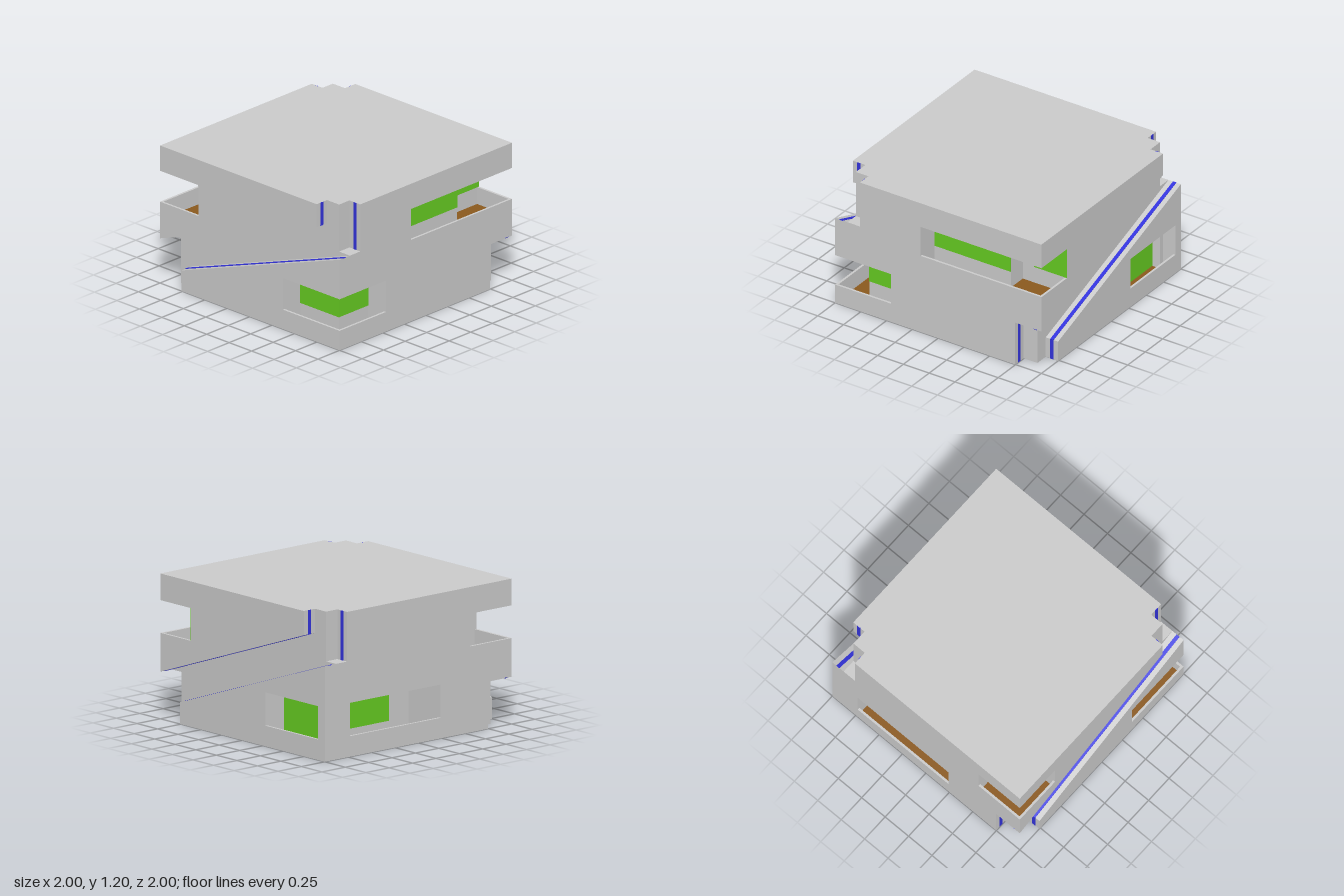
import * as THREE from 'three';

const material = (color, flat = true) => new THREE.MeshStandardMaterial({ color, flatShading: flat });

// Window heights: lower storey and upper storey, each with a sunken balcony floor
const LOW = { floor: 0.02, sill: 0.17, head: 0.445 };
const UP = { floor: 0.56, sill: 0.71, head: 0.98 };
const WALL = 0.88, SKIN = 0.98;

function toShape(points) {
  return new THREE.Shape(points.map(([x, y]) => new THREE.Vector2(x, y)));
}

function extrude(shape, depth) {
  return new THREE.ExtrudeGeometry(shape, { depth, bevelEnabled: false });
}

export function createModel() {
  const model = new THREE.Group();
  model.name = 'cubicBuilding';
  const grey = material(0xcccccc), green = material(0x66cc22);
  const blue = material(0x3333dd), brown = material(0x8b5a1e);

  const add = (parent, name, geometry, mat) => {
    const mesh = new THREE.Mesh(geometry, mat);
    mesh.name = name;
    parent.add(mesh);
    return mesh;
  };
  const addBox = (name, mat, x0, x1, y0, y1, z0, z1) => {
    const mesh = add(model, name, new THREE.BoxGeometry(x1 - x0, y1 - y0, z1 - z0), mat);
    mesh.position.set((x0 + x1) / 2, (y0 + y1) / 2, (z0 + z1) / 2);
  };

  // Core: stacked storeys, each an extruded floor plan of [x, z] corners
  const addStorey = (name, plan, y0, y1) => {
    const geometry = extrude(toShape(plan.map(([x, z]) => [x, -z])), y1 - y0);
    geometry.rotateX(-Math.PI / 2).translate(0, y0, 0);
    add(model, name, geometry, grey);
  };
  const square = [[WALL, WALL], [-WALL, WALL], [-WALL, -WALL], [WALL, -WALL]];
  const lowerPlan = [
    [WALL, 0.46], [0.8, 0.46], [0.8, 0.8], [0.37, 0.8], [0.37, WALL], [-WALL, WALL],
    [-WALL, 0.24], [-0.61, 0.24], [-0.61, -0.14], [-0.8, -0.14], [-0.8, -0.73], [-WALL, -0.73],
    [-WALL, -0.8], [-0.28, -0.8], [-0.28, -WALL], [WALL, -WALL],
  ];
  const upperPlan = [
    [WALL, 0.17], [WALL, WALL], [-0.57, WALL], [-0.57, 0.56], [-WALL, 0.56], [-WALL, -WALL],
    [0.63, -WALL], [0.63, -0.57], [0.8, -0.57], [0.8, 0.17],
  ];
  addStorey('baseSlab', square, 0, LOW.floor);
  addStorey('lowerStorey', lowerPlan, LOW.floor, LOW.head);
  addStorey('middleSlab', square, LOW.head, UP.floor);
  addStorey('upperStorey', upperPlan, UP.floor, UP.head);
  addStorey('roofSlab', square, UP.head, 1.2);

  // Facade panels: an inner layer hollowed down to the floor, and a thin outer skin as parapet
  const addPanel = (facade, name, makeShape) => {
    const inner = extrude(makeShape(true), SKIN - WALL).translate(0, 0, WALL);
    const skin = extrude(makeShape(false), 1 - SKIN).translate(0, 0, SKIN);
    add(facade, name + 'Inner', inner, grey);
    add(facade, name + 'Skin', skin, grey);
  };

  // Opening at an outer corner, listed from the sill at the edge round to the head
  const cornerOpening = (edge, jamb, storey, inner) => {
    const lip = Math.sign(edge) * SKIN;
    const bottom = inner
      ? [[lip, storey.sill], [lip, storey.floor], [jamb, storey.floor]]
      : [[jamb, storey.sill]];
    return [[edge, storey.sill], ...bottom, [jamb, storey.head], [edge, storey.head]];
  };

  const cutHole = (shape, [u0, u1], storey, inner) => {
    const y = inner ? storey.floor : storey.sill;
    const hole = [[u0, y], [u0, storey.head], [u1, storey.head], [u1, y]];
    shape.holes.push(new THREE.Path(hole.map(([a, b]) => new THREE.Vector2(a, b))));
  };

  // Blue light strip along an edge of a groove
  const addStrip = (facade, [ax, ay], [bx, by]) => {
    const length = Math.hypot(bx - ax, by - ay);
    const strip = add(facade, 'lightStrip', new THREE.BoxGeometry(length, 0.006, 0.032), blue);
    strip.position.set((ax + bx) / 2, (ay + by) / 2, 0.941);
    strip.rotation.z = Math.atan2(by - ay, bx - ax);
  };

  const addFacade = (name, angle) => {
    const facade = new THREE.Group();
    facade.name = name;
    facade.rotation.y = angle;
    model.add(facade);
    return facade;
  };

  // Front and back: two wedge panels separated by a diagonal groove
  const addWedgeFacade = (name, angle, { lowerJamb, lowerHole, upperJamb }) => {
    const facade = addFacade(name, angle);
    addPanel(facade, 'lowerWedge', (inner) => {
      const notch = lowerJamb ? cornerOpening(1, lowerJamb, LOW, inner) : [];
      const shape = toShape([[-0.76, 0], [1, 0], ...notch, [1, 0.79], [-0.76, 0.18]]);
      if (lowerHole) cutHole(shape, lowerHole, LOW, inner);
      return shape;
    });
    addPanel(facade, 'upperWedge', (inner) => toShape([
      [-1, 0.39], [0.745, 1], [0.745, 1.2], [-1, 1.2],
      ...cornerOpening(-1, upperJamb, UP, inner).reverse(),
    ]));
    addStrip(facade, [-0.76, 0], [-0.76, 0.18]);
    addStrip(facade, [-0.76, 0.18], [1, 0.79]);
    addStrip(facade, [-1, 0.39], [0.745, 1]);
    addStrip(facade, [0.745, 1], [0.745, 1.2]);
  };
  addWedgeFacade('frontFacade', 0, { lowerJamb: 0.37, upperJamb: -0.57 });
  addWedgeFacade('backFacade', Math.PI, { lowerHole: [0.28, 0.92], upperJamb: -0.63 });

  // Sides: one panel with a notch at the top of one end and at the bottom of the other
  const addSideFacade = (name, angle, { lowerJamb, lowerHole, upperJamb }) => {
    const facade = addFacade(name, angle);
    addPanel(facade, 'sidePanel', (inner) => {
      const low = inner ? LOW.floor : LOW.sill, up = inner ? UP.floor : UP.sill;
      const notch = lowerJamb
        ? [[-WALL, LOW.head], [lowerJamb, LOW.head], [lowerJamb, low], [-WALL, low]] : [];
      const shape = toShape([
        [-WALL, 0], [0.745, 0], [0.745, 0.39], [WALL, 0.39],
        [WALL, up], [upperJamb, up], [upperJamb, UP.head], [WALL, UP.head],
        [WALL, 1.2], [-0.76, 1.2], [-0.76, 0.79], [-WALL, 0.79], ...notch,
      ]);
      if (lowerHole) cutHole(shape, lowerHole, LOW, inner);
      return shape;
    });
    addStrip(facade, [-0.76, 0.79], [-0.76, 1.2]);
    addStrip(facade, [0.745, 0], [0.745, 0.39]);
  };
  addSideFacade('leftFacade', Math.PI / 2, { lowerJamb: -0.46, upperJamb: -0.17 });
  addSideFacade('rightFacade', -Math.PI / 2, { lowerHole: [-0.73, 0.24], upperJamb: 0.56 });

  // Balcony floors: x range, z range, storey
  [
    [0.37, SKIN, 0.46, SKIN, LOW],
    [-SKIN, -0.6, -0.73, 0.24, LOW],
    [-0.92, -0.28, -SKIN, -0.79, LOW],
    [0.62, SKIN, -SKIN, 0.17, UP],
    [-SKIN, -0.57, 0.56, SKIN, UP],
  ].forEach(([x0, x1, z0, z1, s]) =>
    addBox('balconyFloor', brown, x0, x1, s.floor - 0.004, s.floor + 0.003, z0, z1));

  // Window glass: x range, z range, height range
  const t = 0.004;
  [
    [0.37, 0.8 + t, 0.8 - t, 0.8 + t, LOW.sill, LOW.head],
    [0.8 - t, 0.8 + t, 0.46, 0.8 + t, LOW.sill, LOW.head],
    [-WALL, -0.28, -0.8 - t, -0.8 + t, LOW.floor, LOW.head],
    [-0.8 - t, -0.8 + t, -0.73, -0.14, LOW.sill, LOW.head],
    [0.8 - t, 0.8 + t, -0.57, 0.17, UP.sill, UP.head],
    [0.63 - t, 0.63 + t, -0.999, -0.68, UP.sill, UP.head],
    [-0.8, -0.57, 0.56 - t, 0.56 + t, UP.sill, UP.head],
  ].forEach(([x0, x1, z0, z1, y0, y1]) => addBox('windowGlass', green, x0, x1, y0, y1, z0, z1));

  return model;
}
